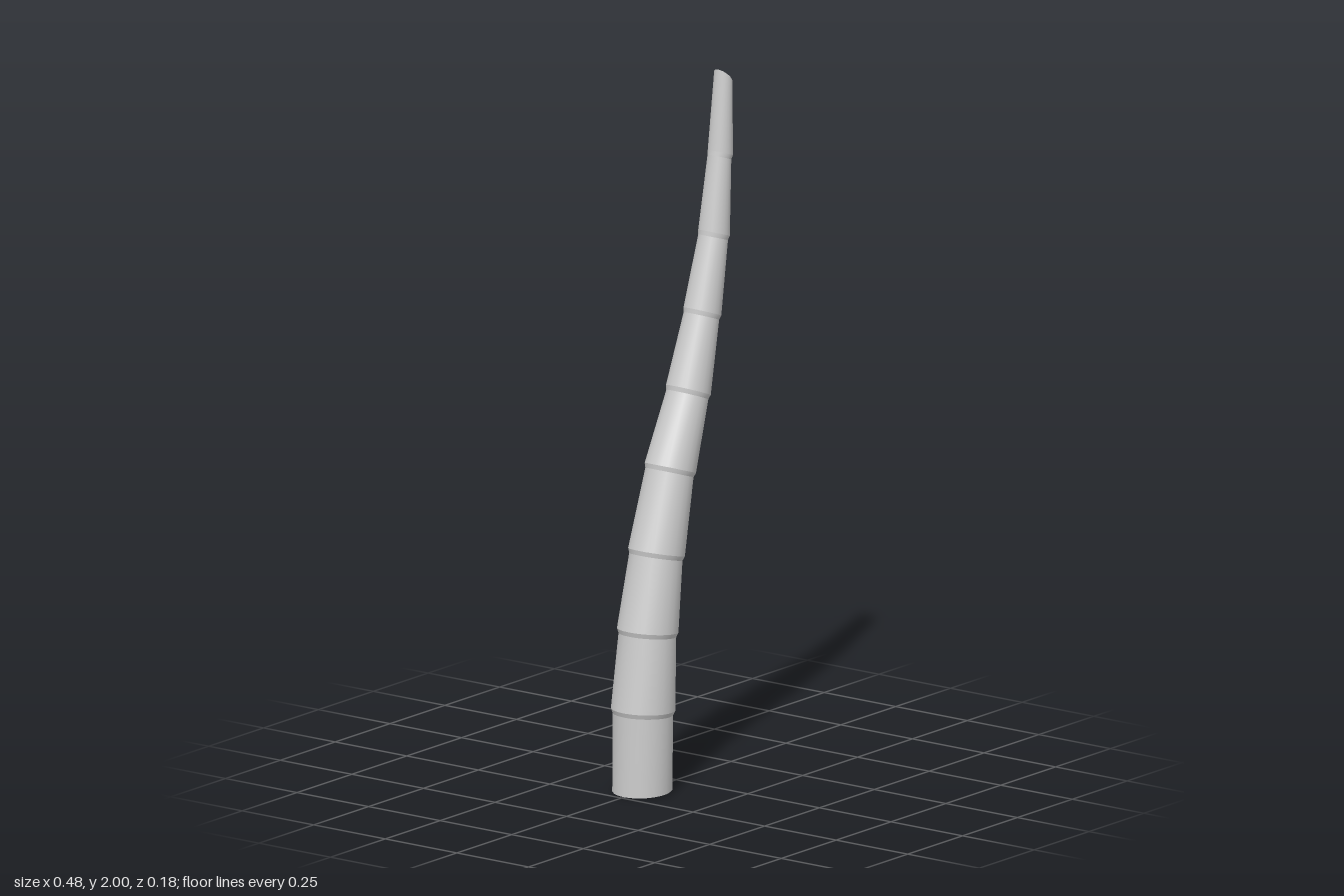
import * as THREE from 'three';

const SIDES = 24;
const material = new THREE.MeshStandardMaterial({ color: 0xcccccc, side: THREE.DoubleSide });

// Rims from root to tip: centre x, centre y, radius, tilt (rise/run falling toward +x)
const RIMS = [
  [-0.155, 0.004, 0.084, -0.05],
  [-0.151, 0.235, 0.09, 0.06],
  [-0.13, 0.457, 0.086, 0.12],
  [-0.09, 0.672, 0.08, 0.24],
  [-0.027, 0.9, 0.073, 0.34],
  [0.055, 1.106, 0.064, 0.39],
  [0.119, 1.318, 0.054, 0.37],
  [0.172, 1.533, 0.045, 0.33],
  [0.201, 1.757, 0.036, 0.35],
].map(([x, y, r, t]) => ring(x, y, r, r, Math.atan(t)));

// Slanted cut at the very end
const TIP = ring(0.214, 1.973, 0.032, 0.027, 0.8);

function ring(x, y, rx, rz, tilt) {
  return { x, y, rx, rz, tilt };
}

// Narrow neck just under a rim, shifted down along the rim's axis
function neckBelow({ x, y, rx, rz, tilt }) {
  const d = 0.013;
  return ring(x - d * Math.sin(tilt), y - d * Math.cos(tilt), rx * 0.94, rz * 0.94, tilt);
}

// Smooth open band between two tilted rings
function band(lower, upper, name) {
  const points = [], index = [];
  for (const { x, y, rx, rz, tilt } of [lower, upper]) {
    for (let i = 0; i < SIDES; i++) {
      const a = (i / SIDES) * Math.PI * 2;
      const u = rx * Math.cos(a);
      points.push(x + u * Math.cos(tilt), y - u * Math.sin(tilt), rz * Math.sin(a));
    }
  }
  for (let i = 0; i < SIDES; i++) {
    const j = (i + 1) % SIDES;
    index.push(i, i + SIDES, j, j, i + SIDES, j + SIDES);
  }
  const geometry = new THREE.BufferGeometry();
  geometry.setAttribute('position', new THREE.Float32BufferAttribute(points, 3));
  geometry.setIndex(index);
  geometry.computeVertexNormals();
  const mesh = new THREE.Mesh(geometry, material);
  mesh.name = name;
  return mesh;
}

export function createModel() {
  const model = new THREE.Group();
  model.name = 'segmentedStalk';

  RIMS.forEach((rim, i) => {
    const next = RIMS[i + 1];
    // Tapering segment, then the flared underside of the next rim
    model.add(band(rim, next ? neckBelow(next) : TIP, `segment${i + 1}`));
    if (next) model.add(band(neckBelow(next), next, `rim${i + 1}`));
  });

  // Flat face closing the slanted tip; the root stays open
  model.add(band(TIP, ring(TIP.x, TIP.y, 0, 0, TIP.tilt), 'tipCap'));
  return model;
}
